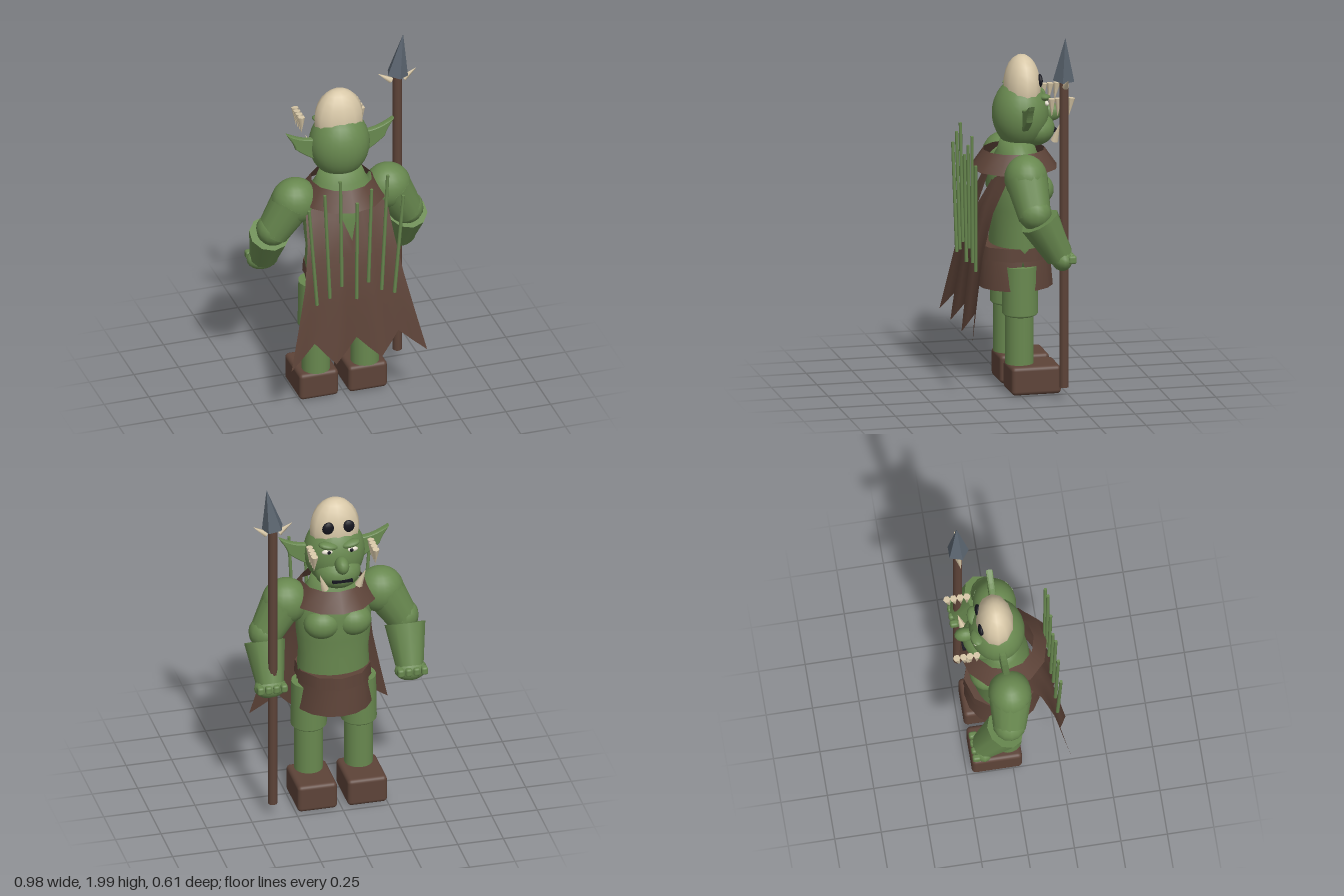
import * as THREE from 'three';
import { RoundedBoxGeometry } from 'three/addons/geometries/RoundedBoxGeometry.js';

export function createModel() {
  const root = new THREE.Group();
  const mat = (name, color, extra = {}) => {
    const m = new THREE.MeshStandardMaterial({ color, ...extra });
    m.name = name;
    return m;
  };
  const skin = mat('green skin', 0x68884f);
  const leather = mat('brown leather', 0x5d4338, { side: THREE.DoubleSide });
  const bone = mat('bone', 0xd8c8a8);
  const steel = mat('slate metal', 0x59636e);
  const black = mat('black', 0x15151e);
  const white = mat('eye white', 0xe6e0d0);

  const add = (name, geo, material, x = 0, y = 0, z = 0) => {
    const m = new THREE.Mesh(geo, material);
    m.name = name;
    m.position.set(x, y, z);
    root.add(m);
    return m;
  };
  const ball = (name, material, p, s, w = 20, h = 14) => {
    const m = add(name, new THREE.SphereGeometry(1, w, h), material, ...p);
    m.scale.set(...s);
    return m;
  };
  // Tapered rod from point a to point b
  const rod = (name, material, a, b, ra, rb, sides = 12) => {
    const A = new THREE.Vector3(...a), B = new THREE.Vector3(...b);
    const dir = B.clone().sub(A);
    const m = add(name, new THREE.CylinderGeometry(rb, ra, dir.length(), sides), material);
    m.position.copy(A).add(B).multiplyScalar(0.5);
    m.quaternion.setFromUnitVectors(new THREE.Vector3(0, 1, 0), dir.normalize());
    return m;
  };

  // Torso and chest (the figure faces -z)
  const profile = [[0, 0.66], [0.16, 0.68], [0.17, 0.8], [0.165, 0.9], [0.175, 1.0], [0.18, 1.12],
    [0.165, 1.22], [0.12, 1.3], [0.1, 1.36], [0, 1.38]].map(p => new THREE.Vector2(...p));
  const torso = add('torso', new THREE.LatheGeometry(profile, 24), skin, 0, 0, -0.03);
  torso.scale.set(1.15, 1, 0.86);

  // Belt and collar
  const belt = add('belt', new THREE.CylinderGeometry(0.205, 0.21, 0.07, 10), leather, 0, 0.765, -0.02);
  belt.scale.x = 0.98;
  add('collar', new THREE.CylinderGeometry(0.165, 0.235, 0.1, 12, 1, true), leather, 0, 1.26, -0.015);

  // Skirt: front and back panels with a notch at each hip
  const skirtPos = [], skirtIdx = [];
  for (const side of [-1, 1]) {
    const base = skirtPos.length / 3, n = 8;
    for (let i = 0; i <= n; i++) {
      const a = Math.PI * i / n, end = i === 0 || i === n;
      const b = end ? 0.2 : a;
      const low = end ? (i ? Math.PI - b : b) : a;
      skirtPos.push(0.19 * Math.cos(a), 0.735, -0.02 + side * 0.19 * Math.sin(a));
      skirtPos.push(0.21 * Math.cos(low), 0.57, -0.02 + side * 0.205 * Math.sin(low));
      if (i < n) {
        const k = base + i * 2;
        skirtIdx.push(...(side > 0 ? [k, k + 2, k + 1, k + 1, k + 2, k + 3] : [k, k + 1, k + 2, k + 1, k + 3, k + 2]));
      }
    }
  }
  const skirt = new THREE.BufferGeometry();
  skirt.setAttribute('position', new THREE.Float32BufferAttribute(skirtPos, 3));
  skirt.setIndex(skirtIdx.map((_, i, a) => a[i - i % 3 + 2 - i % 3]));
  skirt.computeVertexNormals();
  add('skirt', skirt, leather);

  // Mirrored limbs and face parts
  for (const s of [-1, 1]) {
    const lx = s * 0.137 - 0.006;
    add('foot', new RoundedBoxGeometry(0.217, 0.155, 0.27, 3, 0.022), leather, lx, 0.085, -0.085);
    add('shin', new THREE.CylinderGeometry(0.077, 0.077, 0.3, 18), skin, lx, 0.315, -0.014);
    add('thigh', new THREE.CylinderGeometry(0.093, 0.097, 0.26, 18), skin, lx, 0.57, -0.018);
    ball('knee', skin, [lx, 0.44, -0.018], [0.096, 0.025, 0.096], 18, 8);

    ball('chestMuscle', skin, [s * 0.085, 1.1, -0.125], [0.1, 0.085, 0.085]);
    ball('shoulder', skin, [s * 0.26, 1.205, -0.02], [0.128, 0.128, 0.115]);
    rod('upperArm', skin, [s * 0.275, 1.2, -0.02], [s * 0.38, 1.02, -0.04], 0.115, 0.088, 14);
    ball('elbow', skin, [s * 0.375, 1.04, -0.04], [0.09, 0.09, 0.09], 14, 10);
    rod('forearm', skin, [s * 0.385, 1.0, -0.065], [s * 0.383, 0.8, -0.175], 0.11, 0.075, 10);
    ball('hand', skin, [s * 0.385, 0.785, -0.185], [0.088, 0.062, 0.055], 14, 10);
    for (let i = 0; i < 4; i++)
      add('finger', new RoundedBoxGeometry(0.036, 0.045, 0.045, 2, 0.012), skin,
        s * (0.32 + i * 0.043), 0.795, -0.228);

    // Ear
    const shape = new THREE.Shape();
    shape.moveTo(0.11, 1.55);
    shape.quadraticCurveTo(0.21, 1.54, 0.295, 1.6);
    shape.quadraticCurveTo(0.255, 1.55, 0.245, 1.51);
    shape.quadraticCurveTo(0.19, 1.46, 0.11, 1.42);
    const earGeo = new THREE.ExtrudeGeometry(shape, {
      depth: 0.016, bevelEnabled: true, bevelSize: 0.006, bevelThickness: 0.01, bevelSegments: 2, curveSegments: 6 });
    const ear = add(s > 0 ? 'leftEar' : 'rightEar', earGeo, skin, 0, 0, s > 0 ? -0.05 : -0.034);
    if (s < 0) ear.rotation.y = Math.PI;

    // Brow, eye, tusk and skull socket
    ball('brow', skin, [s * 0.06, 1.592, -0.165], [0.055, 0.02, 0.035], 14, 8).rotation.z = s * 0.2;
    ball('eye', white, [s * 0.066, 1.562, -0.176], [0.034, 0.015, 0.014], 12, 8);
    ball('pupil', black, [s * 0.062, 1.562, -0.187], [0.011, 0.011, 0.005], 10, 6);
    rod('tusk', bone, [s * 0.092, 1.36, -0.215], [s * 0.125, 1.46, -0.238], 0.022, 0.001, 6);
    ball('skullSocket', black, [s * 0.055, 1.685, -0.143], [0.034, 0.036, 0.016], 12, 8);

    // Row of hanging teeth beside the face
    for (let i = 0; i < 4; i++)
      rod('hangingTooth', bone, [s * 0.168, 1.61, -0.183 - i * 0.036],
        [s * 0.168, 1.515, -0.183 - i * 0.031], 0.02, 0.001, 6);
  }

  // Head
  ball('head', skin, [0, 1.5, -0.05], [0.165, 0.19, 0.15], 24, 16);
  ball('jaw', skin, [0, 1.415, -0.125], [0.125, 0.095, 0.11]);
  ball('nose', skin, [0, 1.495, -0.22], [0.038, 0.048, 0.058], 14, 10);
  add('mouth', new THREE.BoxGeometry(0.11, 0.014, 0.03), black, 0, 1.405, -0.226);
  const cap = add('skullCap', new THREE.SphereGeometry(1, 12, 7, 0, Math.PI * 2, 0, Math.PI * 0.58), bone, 0, 1.64, -0.06);
  cap.scale.set(0.136, 0.18, 0.1);

  // Cloak: draped sheet with a notched neck and a zigzag hem
  const levels = [[1.26, 0.22, 0.07], [1.02, 0.24, 0.18], [0.8, 0.275, 0.235], [0.6, 0.32, 0.265], [0.35, 0.38, 0.3]];
  const sample = (y, k) => {
    let i = 0;
    while (i < 3 && y < levels[i + 1][0]) i++;
    const [p, q] = [levels[i], levels[i + 1]];
    return p[k] + (q[k] - p[k]) * (p[0] - y) / (p[0] - q[0]);
  };
  const pos = [], idx = [], cols = 12, rows = 8;
  for (let r = 0; r <= rows; r++) for (let c = 0; c <= cols; c++) {
    const u = (c - 6) / 6, t = r / rows;
    const valley = 1 - Math.abs((c % 4) - 2) / 2;
    const inner = c % 4 === 0 ? 0 : valley;
    const top = Math.min(1.24, 1.02 + Math.abs(c - 6) * 0.11);
    const y = top + (0.35 + 0.12 * inner - top) * t;
    const z = sample(y, 2) - 0.03 * inner * t - 0.035 * u * u * (1 - t);
    pos.push(u * sample(y, 1) - 0.004, y, z);
    if (r < rows && c < cols) {
      const a = r * (cols + 1) + c, b = a + cols + 1;
      idx.push(a, b, a + 1, a + 1, b, b + 1);
    }
  }
  const cloak = new THREE.BufferGeometry();
  cloak.setAttribute('position', new THREE.Float32BufferAttribute(pos, 3));
  cloak.setIndex(idx);
  cloak.computeVertexNormals();
  add('cloak', cloak, leather);

  // Fan of quills behind the cloak: top x, top y, bottom x, bottom y
  [[-0.27, 1.29, -0.222, 0.7], [-0.182, 1.37, -0.15, 0.73], [-0.095, 1.44, -0.083, 0.79], [0, 1.29, 0, 0.7],
    [0.08, 1.36, 0.066, 0.79], [0.17, 1.43, 0.14, 0.73], [0.258, 1.29, 0.212, 0.7]].forEach(([x1, y1, x0, y0]) =>
    rod('quill', skin, [x0, y0, 0.243], [x1, y1, 0.254], 0.01, 0.009, 6));

  // Spear
  rod('spearShaft', leather, [0.375, 0.08, -0.2], [0.375, 1.78, -0.2], 0.025, 0.025, 10);
  const tip = rod('spearHead', steel, [0.373, 1.765, -0.2], [0.408, 2.0, -0.2], 0.06, 0.001, 5);
  tip.geometry = tip.geometry.toNonIndexed();
  tip.geometry.computeVertexNormals();
  rod('spearBarb', bone, [0.34, 1.735, -0.2], [0.268, 1.785, -0.2], 0.018, 0.001, 6);
  rod('spearBarb', bone, [0.41, 1.735, -0.2], [0.48, 1.785, -0.2], 0.018, 0.001, 6);

  return root;
}
